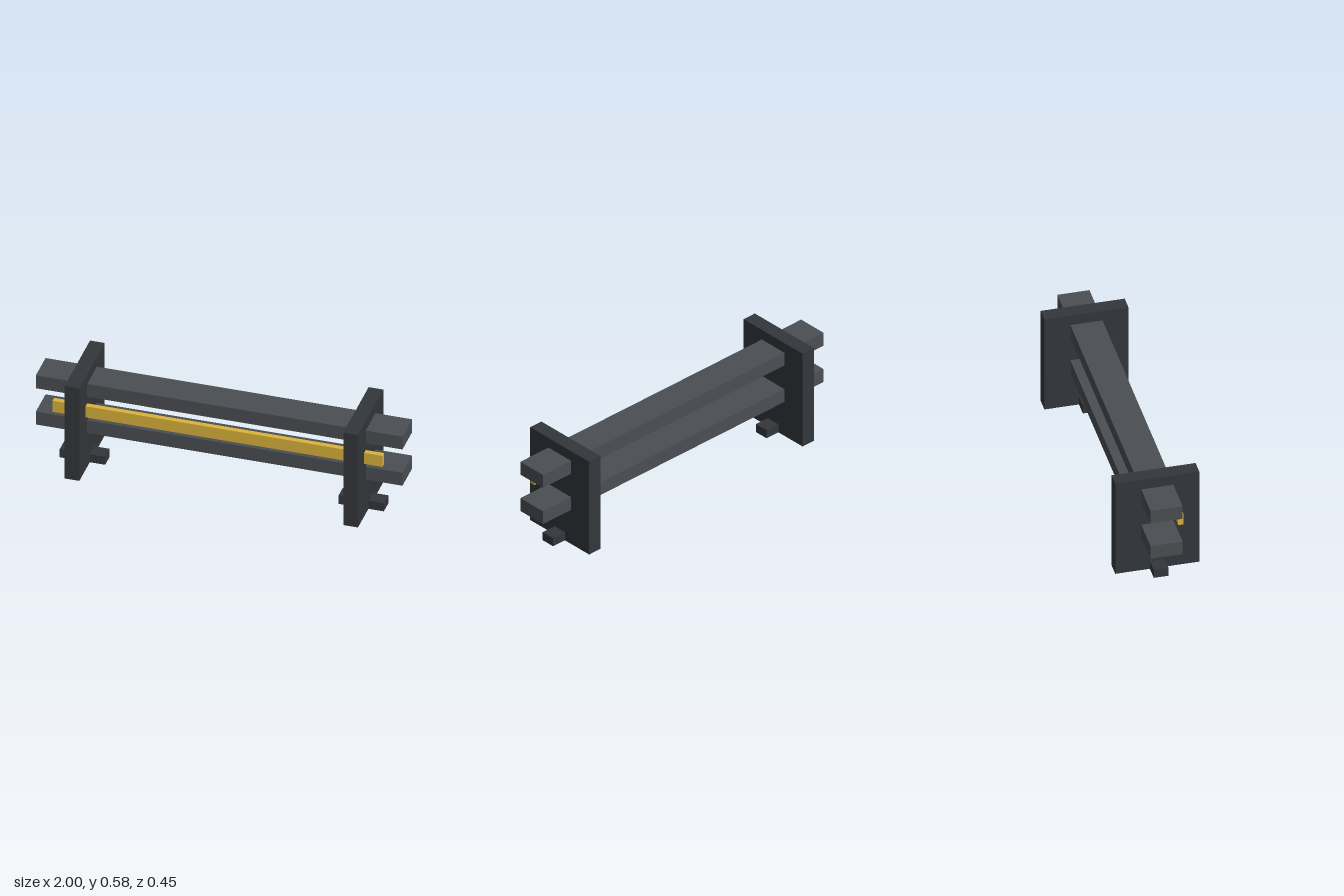
import * as THREE from 'three';

export function createModel() {
  const model = new THREE.Group();
  const postMat = new THREE.MeshStandardMaterial({ color: 0x33363b });
  const railMat = new THREE.MeshStandardMaterial({ color: 0x4b4e53 });
  const stripeMat = new THREE.MeshStandardMaterial({ color: 0xdcb53c });

  // Box given by its size, centre x, bottom y and centre z
  function box(name, material, [w, h, d], x, bottom, z = 0) {
    const mesh = new THREE.Mesh(new THREE.BoxGeometry(w, h, d), material);
    mesh.name = name;
    mesh.position.set(x, bottom + h / 2, z);
    model.add(mesh);
  }

  // Upright slabs with a crossing foot at each end
  for (const [side, s] of [['left', 1], ['right', -1]]) {
    box(`${side}Post`, postMat, [0.08, 0.577, 0.452], s * 0.76, 0);
    box(`${side}Foot`, postMat, [0.248, 0.05, 0.08], s * 0.76, 0);
  }

  // Two long rails running through the posts
  box('lowerRail', railMat, [2, 0.08, 0.173], 0, 0.211);
  box('upperRail', railMat, [2, 0.08, 0.173], 0, 0.437);

  // Coloured strip between the rails, on the front side
  box('warningStrip', stripeMat, [1.8, 0.069, 0.029], 0, 0.327, 0.101);

  return model;
}
